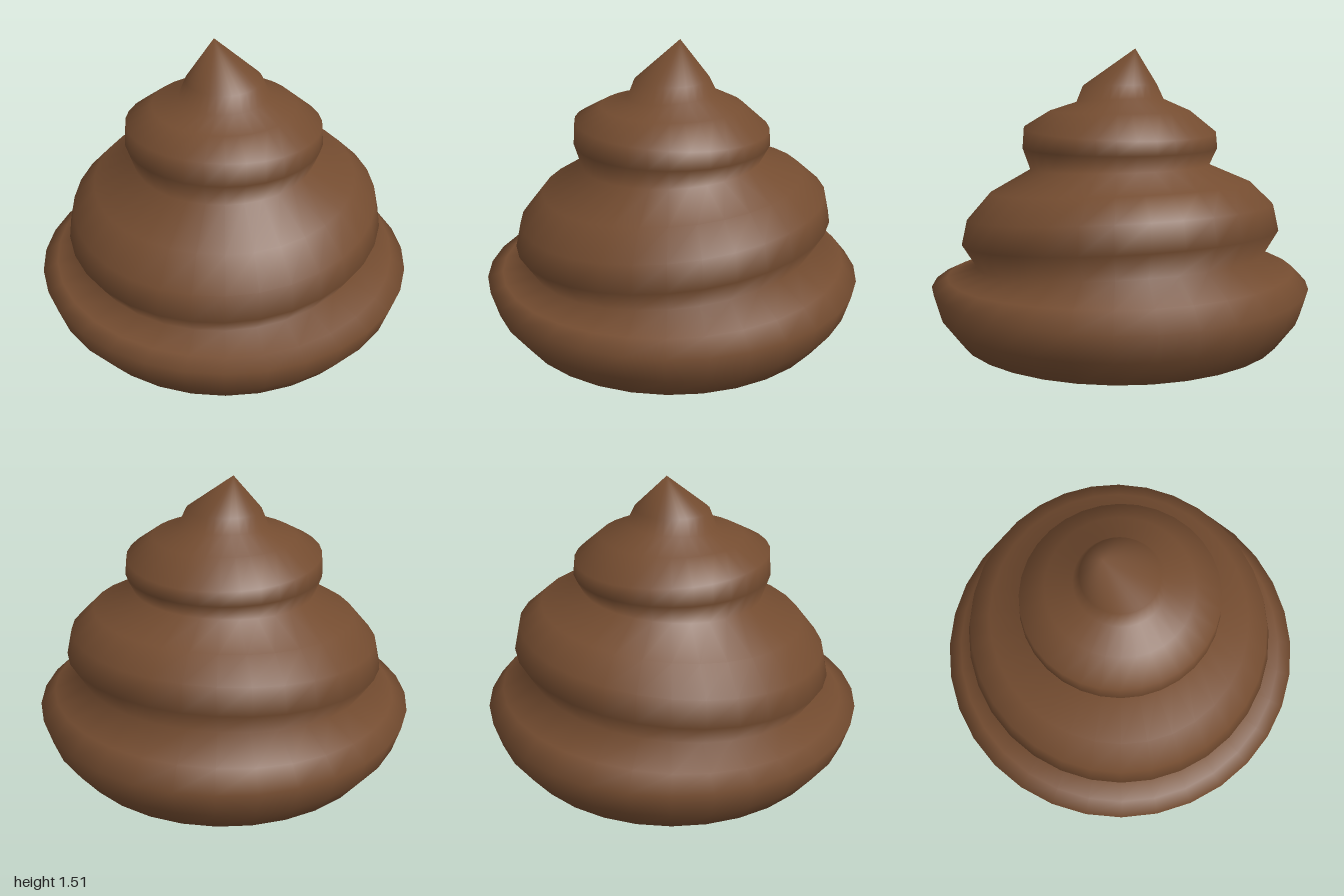
import * as THREE from 'three';

// Rings from bottom to top: radius, mean height, tilt (front lower, back higher)
const RINGS = [
  [0.86, 0.005, 0], [0.96, 0.14, 0], [1.0, 0.28, 0],            // base coil
  [0.92, 0.342, 0.035], [0.765, 0.402, 0.07],                   // groove
  [0.84, 0.527, 0.08], [0.81, 0.66, 0.08], [0.69, 0.788, 0.055], // middle coil
  [0.475, 0.895, 0.025],                                        // groove
  [0.515, 1.0, 0], [0.507, 1.095, -0.025], [0.37, 1.192, 0],    // upper coil
  [0.23, 1.245, 0.015], [0.195, 1.325, 0.005],                  // tip
];
const SEGMENTS = 32;

// Smooth closed loft through tilted rings, capped by one point at each end
function loftRings(rings, bottom, top) {
  const pos = [];
  const index = [];
  for (const [r, y, tilt] of rings) {
    for (let i = 0; i < SEGMENTS; i++) {
      const a = (i / SEGMENTS) * Math.PI * 2;
      pos.push(r * Math.sin(a), y - tilt * Math.cos(a), r * Math.cos(a));
    }
  }
  const low = rings.length * SEGMENTS;
  const high = low + 1;
  pos.push(...bottom, ...top);
  for (let i = 0; i < SEGMENTS; i++) {
    const j = (i + 1) % SEGMENTS;
    for (let k = 0; k < rings.length - 1; k++) {
      const a = k * SEGMENTS + i, b = k * SEGMENTS + j;
      const c = b + SEGMENTS, d = a + SEGMENTS;
      index.push(a, b, c, a, c, d);
    }
    const last = (rings.length - 1) * SEGMENTS;
    index.push(low, j, i, last + i, last + j, high);
  }
  const geometry = new THREE.BufferGeometry();
  geometry.setAttribute('position', new THREE.Float32BufferAttribute(pos, 3));
  geometry.setIndex(index);
  geometry.computeVertexNormals();
  return geometry;
}

export function createModel() {
  const group = new THREE.Group();
  group.name = 'swirl';
  const brown = new THREE.MeshStandardMaterial({ color: 0x744c30 });
  brown.name = 'brown';

  // Stacked coils with an off-centre pointed tip
  const coils = new THREE.Mesh(loftRings(RINGS, [0, 0, 0], [-0.07, 1.515, -0.04]), brown);
  coils.name = 'swirlCoils';
  group.add(coils);
  return group;
}
